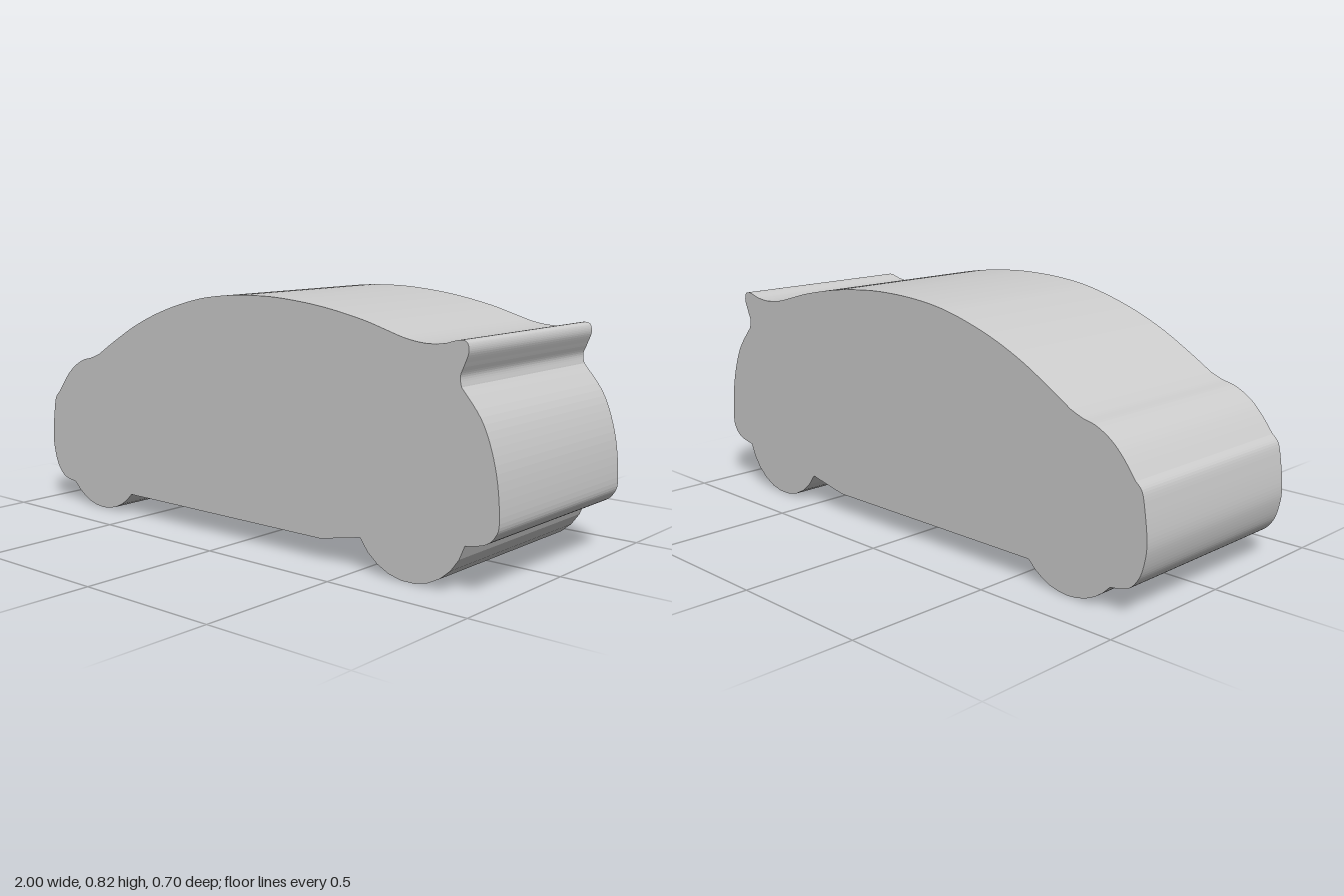
import * as THREE from 'three';

const WIDTH = 0.7;
const WHEEL_R = 0.21;

// Each run is a smooth curve; runs meet at creases.
const TAIL = [[0.89, 0.15], [0.95, 0.163], [0.985, 0.19], [1, 0.24], [0.985, 0.38], [0.94, 0.51], [0.865, 0.605]];
const SPOILER = [[0.865, 0.605], [0.86, 0.635], [0.873, 0.668], [0.887, 0.705], [0.883, 0.73], [0.868, 0.738], [0.845, 0.736],
  [0.8, 0.724], [0.74, 0.72], [0.67, 0.729], [0.6, 0.748]];
const ROOF = [[0.6, 0.748], [0.5, 0.775], [0.35, 0.803], [0.2, 0.819], [0.08, 0.823], [-0.06, 0.817], [-0.2, 0.797],
  [-0.36, 0.752], [-0.5, 0.695], [-0.62, 0.63], [-0.714, 0.573]];
const BONNET = [[-0.714, 0.573], [-0.76, 0.555], [-0.81, 0.542], [-0.865, 0.511], [-0.91, 0.468], [-0.955, 0.41]];
const NOSE = [[-0.955, 0.41], [-0.978, 0.385], [-0.99, 0.33], [-1, 0.25], [-0.997, 0.195], [-0.98, 0.135],
  [-0.95, 0.095], [-0.92, 0.081], [-0.874, 0.073]];

function addSmooth(shape, run) {
  shape.splineThru(run.slice(1).map(([x, y]) => new THREE.Vector2(x, y)));
}

// Lower part of a wheel, from left to right under its hub
function addWheel(shape, hubX, yStart, yEnd) {
  const start = Math.PI + Math.asin((WHEEL_R - yStart) / WHEEL_R);
  const end = 2 * Math.PI - Math.asin((WHEEL_R - yEnd) / WHEEL_R);
  shape.absarc(hubX, WHEEL_R, WHEEL_R, start, end, false);
}

export function createModel() {
  // Side outline of the car, counter-clockwise
  const outline = new THREE.Shape();
  outline.moveTo(-0.555, 0.073);
  outline.lineTo(0.345, 0.073);
  outline.lineTo(0.504, 0.105);
  addWheel(outline, 0.686, 0.105, 0.15);
  outline.lineTo(...TAIL[0]);
  for (const run of [TAIL, SPOILER, ROOF, BONNET, NOSE]) addSmooth(outline, run);
  addWheel(outline, -0.715, 0.073, 0.073);
  outline.closePath();

  // Solid slab, same outline across the whole width
  const geometry = new THREE.ExtrudeGeometry(outline, { depth: WIDTH, bevelEnabled: false, curveSegments: 5 });
  geometry.translate(0, 0, -WIDTH / 2);

  const body = new THREE.Mesh(geometry, new THREE.MeshStandardMaterial({ color: 0xcccccc }));
  body.name = 'carBody';

  const group = new THREE.Group();
  group.name = 'carSilhouette';
  group.add(body);
  return group;
}
